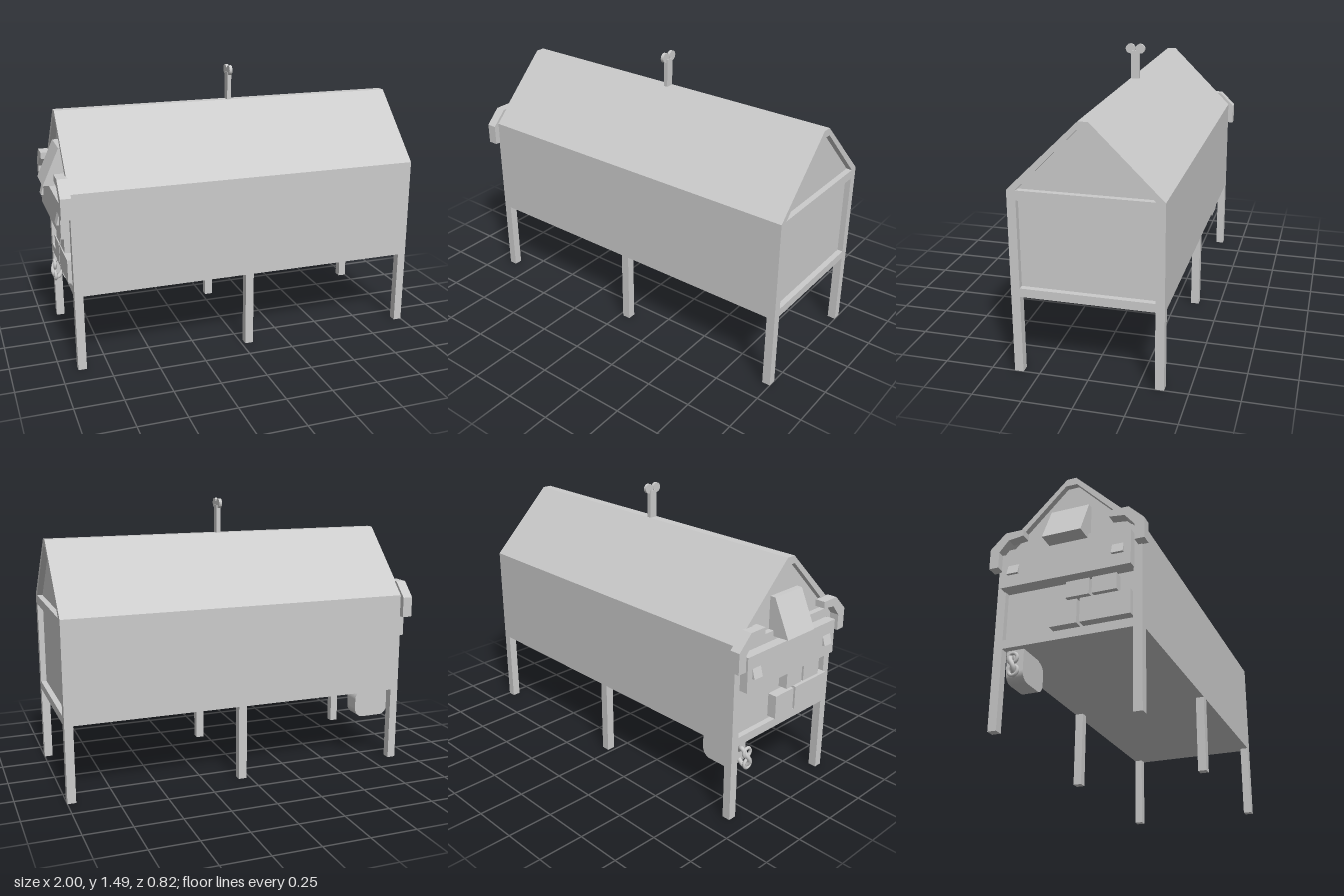
import * as THREE from 'three';

const mat = new THREE.MeshStandardMaterial({ color: 0xcccccc, flatShading: true });
const smooth = new THREE.MeshStandardMaterial({ color: 0xcccccc });

const shapeOf = (pts) => new THREE.Shape(pts.map(([a, b]) => new THREE.Vector2(a, b)));

export function createModel() {
  const model = new THREE.Group();

  function add(name, geometry, material = mat) {
    const mesh = new THREE.Mesh(geometry, material);
    mesh.name = name;
    model.add(mesh);
    return mesh;
  }
  // Box given by its limits on each axis
  function box(name, x0, x1, y0, y1, z0, z1) {
    const g = new THREE.BoxGeometry(x1 - x0, y1 - y0, z1 - z0);
    g.translate((x0 + x1) / 2, (y0 + y1) / 2, (z0 + z1) / 2);
    return add(name, g);
  }
  // Profile drawn in (z, y), extruded along x
  function extrudeX(name, shape, x0, x1) {
    const g = new THREE.ExtrudeGeometry(shape, { depth: x1 - x0, bevelEnabled: false });
    g.rotateY(-Math.PI / 2).translate(x1, 0, 0);
    return add(name, g);
  }
  // Profile drawn in (x, y), extruded along z
  function extrudeZ(name, shape, z0, z1, material = mat) {
    const g = new THREE.ExtrudeGeometry(shape, { depth: z1 - z0, bevelEnabled: false, curveSegments: 8 });
    g.translate(0, 0, z0);
    return add(name, g, material);
  }

  // House-shaped body with recessed end panels
  const house = [[-0.38, 0.41], [0.38, 0.41], [0.38, 0.955], [0.025, 1.305], [-0.025, 1.305], [-0.38, 0.955]];
  extrudeX('body', shapeOf(house), -0.88, 0.97);
  const frame = shapeOf(house);
  frame.holes.push(
    shapeOf([[-0.335, 0.455], [-0.335, 0.905], [0.335, 0.905], [0.335, 0.455]]),
    shapeOf([[-0.335, 0.955], [-0.03, 1.265], [0.03, 1.265], [0.335, 0.955]]),
  );
  extrudeX('leftEndFrame', frame, 0.97, 1.0);
  extrudeX('rightEndFrame', frame, -0.91, -0.88);

  // Six legs
  for (const x of [-0.91, 0.02, 0.955]) {
    for (const z of [-0.38, 0.335]) box('leg', x, x + 0.045, 0, 0.41, z, z + 0.045);
  }

  // Ridge post with a pair of round knobs
  box('ridgePost', 0.037, 0.06, 1.3, 1.455, -0.022, 0.022);
  for (const s of [-1, 1]) {
    const g = new THREE.CylinderGeometry(0.026, 0.026, 0.016, 24);
    g.rotateZ(Math.PI / 2).translate(0.048, 1.466, s * 0.027);
    add('ridgeKnob', g);
  }

  // Bent brackets and small wedges at both sides of the decorated end
  for (const s of [-1, 1]) {
    const bracket = [[0.41, 0.835], [0.41, 0.945], [0.33, 1.025], [0.23, 1.025], [0.23, 0.99], [0.31, 0.98], [0.36, 0.92], [0.36, 0.835]];
    extrudeX('cornerBracket', shapeOf(bracket.map(([z, y]) => [s * z, y])), -0.96, -0.905);
    extrudeZ('smallWedge', shapeOf([[-0.95, 0.85], [-0.97, 0.78], [-0.95, 0.78]]), s * 0.275 - 0.03, s * 0.275 + 0.03);
  }

  // Crossboard and central wedge
  box('crossboard', -0.955, -0.875, 0.715, 0.9, -0.34, 0.34);
  extrudeZ('centreWedge', shapeOf([[-0.91, 1.125], [-1.0, 0.93], [-0.88, 0.925], [-0.88, 1.125]]), -0.105, 0.1);

  // Lower stacked panels
  box('lowerPanel', -0.93, -0.875, 0.47, 0.595, -0.08, 0.06);
  box('lowerPanel', -0.93, -0.875, 0.47, 0.595, 0.075, 0.33);
  box('upperPanel', -0.93, -0.875, 0.61, 0.695, 0.0, 0.12);
  box('upperPanel', -0.93, -0.875, 0.61, 0.695, 0.135, 0.26);

  // Rounded tank hanging under the floor
  const tank = new THREE.Shape();
  tank.moveTo(-0.875, 0.41);
  tank.lineTo(-0.875, 0.3);
  tank.absarc(-0.825, 0.3, 0.05, Math.PI, 1.5 * Math.PI, false);
  tank.absarc(-0.72, 0.3, 0.05, 1.5 * Math.PI, 2 * Math.PI, false);
  tank.absarc(-0.72, 0.355, 0.05, 0, 0.5 * Math.PI, false);
  tank.lineTo(-0.72, 0.41);
  extrudeZ('tank', tank, -0.325, -0.235, smooth);

  // Curled fitting at the end of the tank
  const curl = new THREE.CatmullRomCurve3([
    [-0.87, 0.3, -0.28], [-0.9, 0.27, -0.27], [-0.925, 0.3, -0.26], [-0.92, 0.34, -0.28],
    [-0.895, 0.375, -0.29], [-0.87, 0.35, -0.28],
  ].map((p) => new THREE.Vector3(...p)));
  add('curledPipe', new THREE.TubeGeometry(curl, 32, 0.012, 10), smooth);
  for (const [y, z] of [[0.285, -0.265], [0.35, -0.27]]) {
    const ring = new THREE.TorusGeometry(0.024, 0.009, 8, 24);
    ring.rotateY(Math.PI / 2).translate(-0.915, y, z);
    add('ring', ring, smooth);
  }

  return model;
}
